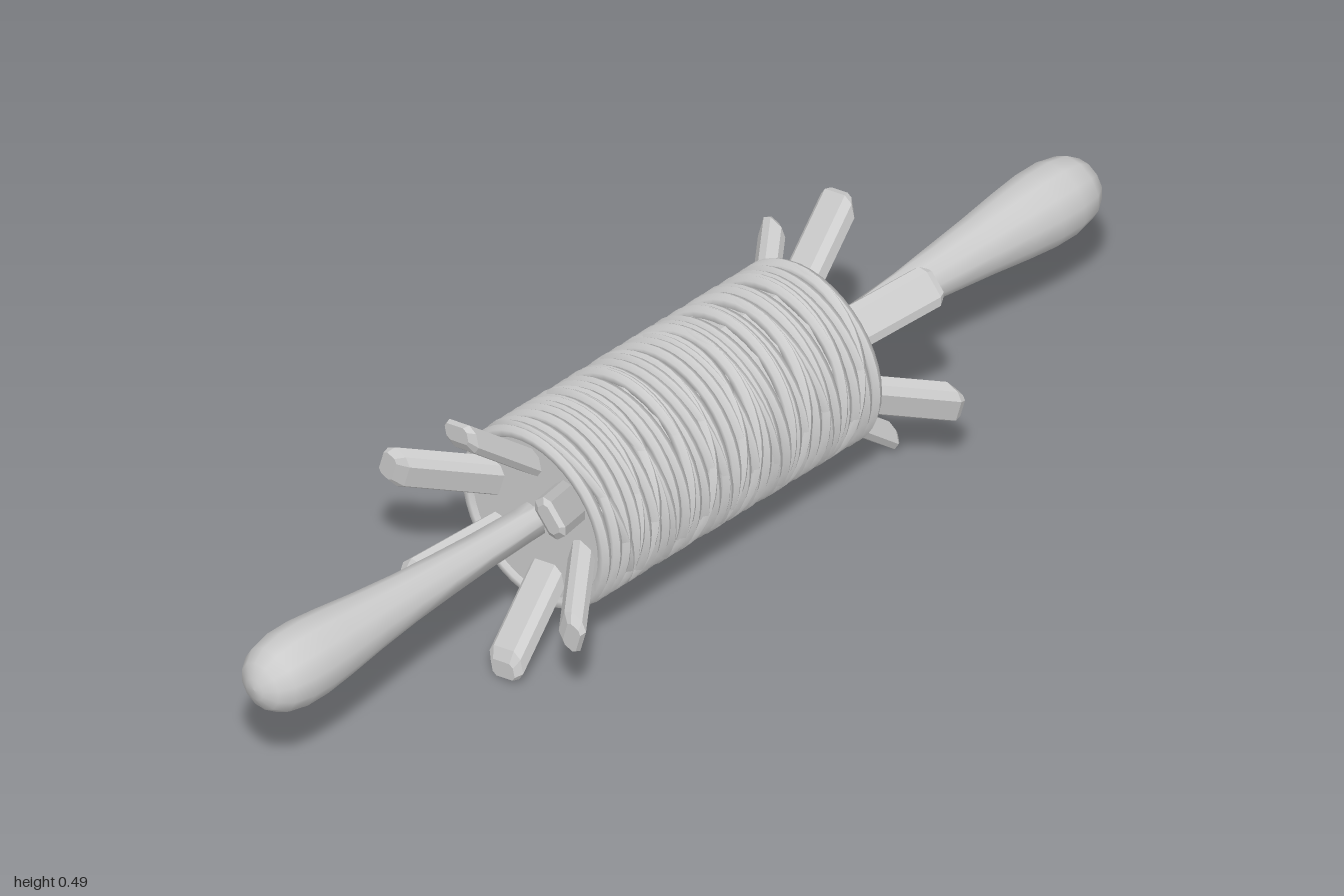
import * as THREE from 'three';

const AXIS_Y = 0.257;
const smooth = new THREE.MeshStandardMaterial({ color: 0xcccccc });
const flat = new THREE.MeshStandardMaterial({ color: 0xcccccc, flatShading: true });

function add(parent, name, geometry, material) {
  const mesh = new THREE.Mesh(geometry, material);
  mesh.name = name;
  parent.add(mesh);
  return mesh;
}

// Small seeded generator for the uneven winding
function seeded(seed) {
  return () => (seed = (seed * 16807) % 2147483647) / 2147483647;
}

// Chamfered bar along +x that leans outward, with an upright end face
function pegGeometry() {
  const w = 0.027, h = 0.016, c = 0.007, bevel = 0.011, x0 = 0.29, x1 = 0.46;
  const shape = new THREE.Shape([
    [-w, -h + c], [-w + c, -h], [w - c, -h], [w, -h + c],
    [w, h - c], [w - c, h], [-w + c, h], [-w, h - c],
  ].map(([x, y]) => new THREE.Vector2(x, y)));
  const g = new THREE.ExtrudeGeometry(shape, {
    depth: x1 - x0 - 2 * bevel, bevelEnabled: true, bevelSegments: 1,
    bevelSize: bevel, bevelThickness: bevel,
  });
  g.translate(0, 0, x0 + bevel).rotateY(Math.PI / 2);
  const p = g.attributes.position;
  for (let i = 0; i < p.count; i++) {
    p.setY(i, p.getY(i) + 0.13 + 0.86 * (p.getX(i) - 0.345));
  }
  g.computeVertexNormals();
  return g;
}

// Twelve-sided bulbous grip, pinched into six ridges near the drum
function handleGeometry() {
  const profile = [
    [0.03, 0.30], [0.031, 0.36], [0.034, 0.46], [0.039, 0.55], [0.045, 0.64],
    [0.054, 0.73], [0.064, 0.81], [0.07, 0.87], [0.07, 0.92], [0.062, 0.96],
    [0.045, 0.985], [0.02, 0.998], [0, 1.0],
  ].map(([r, x]) => new THREE.Vector2(r, x));
  const g = new THREE.LatheGeometry(profile, 12);
  const p = g.attributes.position;
  for (let i = 0; i < p.count; i++) {
    const column = Math.floor(i / profile.length);
    const pinch = Math.max(0, 1 - (p.getY(i) - 0.3) / 0.35);
    const k = column % 2 ? 1 - 0.35 * pinch : 1;
    p.setX(i, p.getX(i) * k);
    p.setZ(i, p.getZ(i) * k);
  }
  g.rotateZ(-Math.PI / 2).rotateX(Math.PI / 12);
  g.computeVertexNormals();
  // Join the normals across the lathe seam
  const n = g.attributes.normal, last = 12 * profile.length;
  for (let j = 0; j < profile.length; j++) {
    const v = new THREE.Vector3().fromBufferAttribute(n, j)
      .add(new THREE.Vector3().fromBufferAttribute(n, last + j)).normalize();
    n.setXYZ(j, v.x, v.y, v.z);
    n.setXYZ(last + j, v.x, v.y, v.z);
  }
  return g;
}

// One turn of cord around the drum, slanted from top to bottom
function cordTurn(parent, x, radius, slant) {
  const g = new THREE.TorusGeometry(radius, 0.0118, 6, 40).rotateY(Math.PI / 2);
  const p = g.attributes.position;
  for (let i = 0; i < p.count; i++) {
    p.setX(i, p.getX(i) + x + slant * p.getY(i) / radius);
  }
  g.computeVertexNormals();
  add(parent, 'cordTurn', g, smooth);
}

export function createModel() {
  const model = new THREE.Group();
  model.name = 'cordSpool';
  const spool = new THREE.Group();
  spool.name = 'spool';
  spool.position.y = AXIS_Y;
  model.add(spool);

  // Drum
  const drum = new THREE.CylinderGeometry(0.161, 0.161, 0.65, 12).rotateZ(Math.PI / 2);
  add(spool, 'drum', drum, flat);

  // Winding: an even layer, then slanted turns crossing over it
  const winding = new THREE.Group();
  winding.name = 'winding';
  spool.add(winding);
  const random = seeded(41);
  const turns = 28;
  for (let i = 0; i < turns; i++) {
    const x = -0.323 + (0.646 * i) / (turns - 1);
    const room = Math.min(0.01, 0.323 - Math.abs(x));
    cordTurn(winding, x, 0.162 + 0.002 * random(), (random() * 2 - 1) * room);
  }
  for (let i = 0; i < 15; i++) {
    const x = -0.28 + 0.04 * i + (random() - 0.5) * 0.02;
    const slant = (i % 3 ? 1 : -1) * (0.015 + 0.03 * random());
    cordTurn(winding, x, 0.1635, slant);
  }

  // Both ends: handle and six splayed pegs
  const handle = handleGeometry();
  const peg = pegGeometry();
  for (const side of [1, -1]) {
    const end = new THREE.Group();
    end.name = side > 0 ? 'leftEnd' : 'rightEnd';
    end.rotation.y = side > 0 ? 0 : Math.PI;
    spool.add(end);
    add(end, 'handle', handle, smooth);
    for (let i = 0; i < 6; i++) {
      const m = add(end, 'peg', peg, flat);
      m.rotation.x = -side * THREE.MathUtils.degToRad(14 + 60 * i);
    }
  }
  return model;
}
